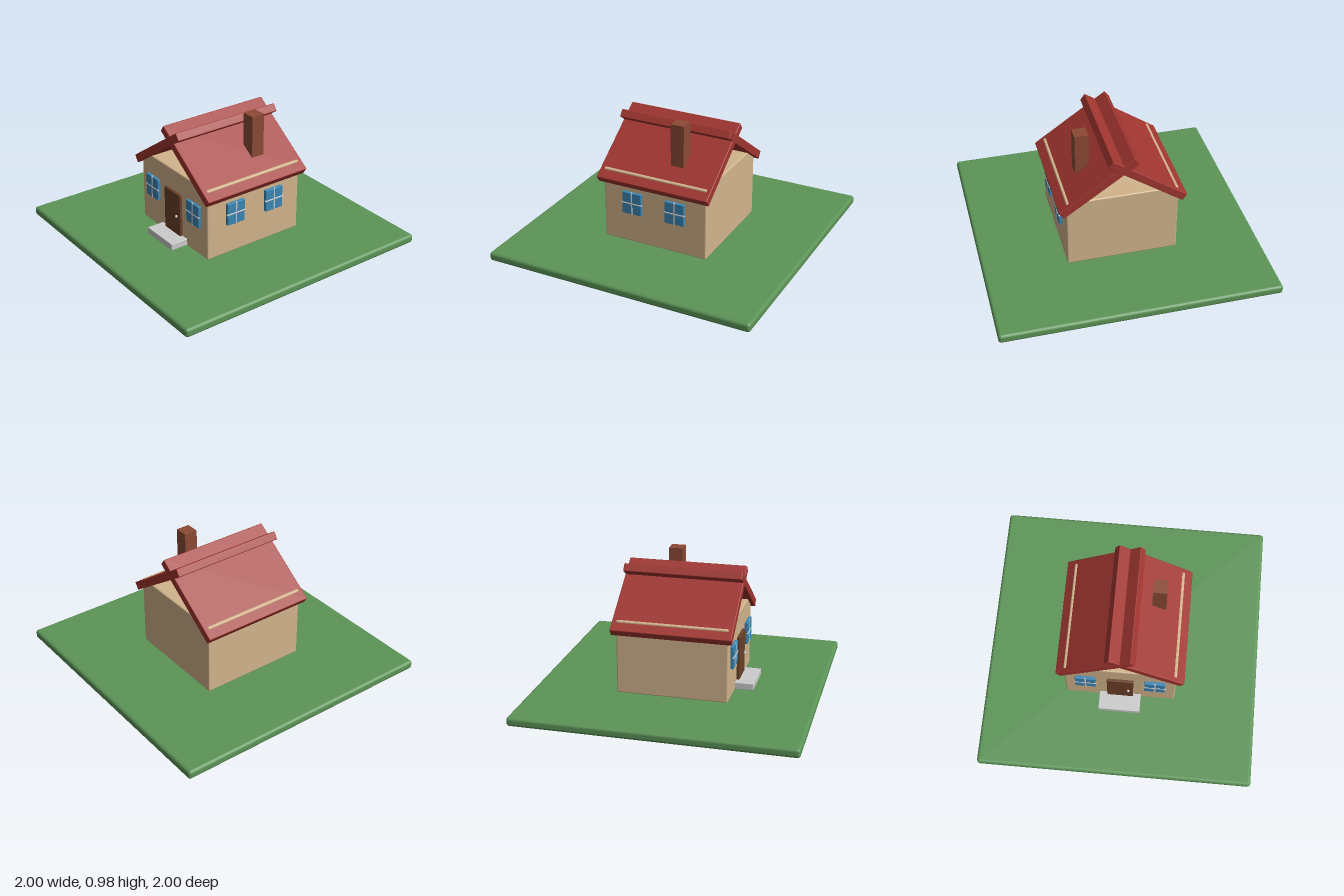
import * as THREE from 'three';
import { RoundedBoxGeometry } from 'three/addons/geometries/RoundedBoxGeometry.js';

const material = (color) => new THREE.MeshStandardMaterial({ color });
const grass = material(0x5c9457);
const plaster = material(0xd2b48c);
const tile = material(0xa03530);
const brick = material(0x8b4a35);
const wood = material(0x6b4028);
const glass = material(0x3a87b5);
const trim = material(0xdcdcd8);

function add(parent, name, geometry, mat, x = 0, y = 0, z = 0) {
  const mesh = new THREE.Mesh(geometry, mat);
  mesh.name = name;
  mesh.position.set(x, y, z);
  parent.add(mesh);
  return mesh;
}

const rounded = (w, h, d, r) => new RoundedBoxGeometry(w, h, d, 3, r);

// Window facing +z, its back on z = 0
function createWindow() {
  const group = new THREE.Group();
  group.name = 'window';
  add(group, 'windowPane', rounded(0.148, 0.165, 0.03, 0.004), glass, 0, 0, 0.008);
  add(group, 'verticalBar', rounded(0.012, 0.178, 0.012, 0.004), trim, 0, 0, 0.02);
  add(group, 'horizontalBar', rounded(0.162, 0.012, 0.012, 0.004), trim, 0, 0, 0.02);
  return group;
}

export function createModel() {
  const model = new THREE.Group();
  model.name = 'cottage';

  // Lawn and walls
  add(model, 'lawn', rounded(2, 0.066, 2, 0.022), grass, 0, 0.033, 0);
  add(model, 'walls', rounded(0.8, 0.54, 0.8, 0.01), plaster, 0, 0.333, 0);

  // Two roof slabs crossing at the ridge
  for (const side of [-1, 1]) {
    const slab = add(model, side > 0 ? 'leftRoofSlab' : 'rightRoofSlab',
      rounded(0.65, 0.06, 0.86, 0.006), tile, side * 0.174, 0.711, 0);
    slab.rotation.z = -side * THREE.MathUtils.degToRad(35);
  }

  // Chimney
  add(model, 'chimney', new THREE.BoxGeometry(0.1, 0.33, 0.1), brick, 0.234, 0.816, -0.12);

  // Door, knob and step
  add(model, 'door', rounded(0.19, 0.37, 0.04, 0.004), wood, 0, 0.257, 0.4);
  add(model, 'doorKnob', new THREE.SphereGeometry(0.01, 20, 14), trim, 0.06, 0.267, 0.427);
  add(model, 'doorStep', rounded(0.305, 0.05, 0.15, 0.004), trim, 0, 0.093, 0.458);

  // Front windows
  for (const x of [-0.25, 0.25]) {
    const win = createWindow();
    win.position.set(x, 0.371, 0.4);
    model.add(win);
  }

  // Side windows
  for (const z of [-0.165, 0.17]) {
    const win = createWindow();
    win.position.set(0.4, 0.377, z);
    win.rotation.y = Math.PI / 2;
    model.add(win);
  }

  return model;
}
